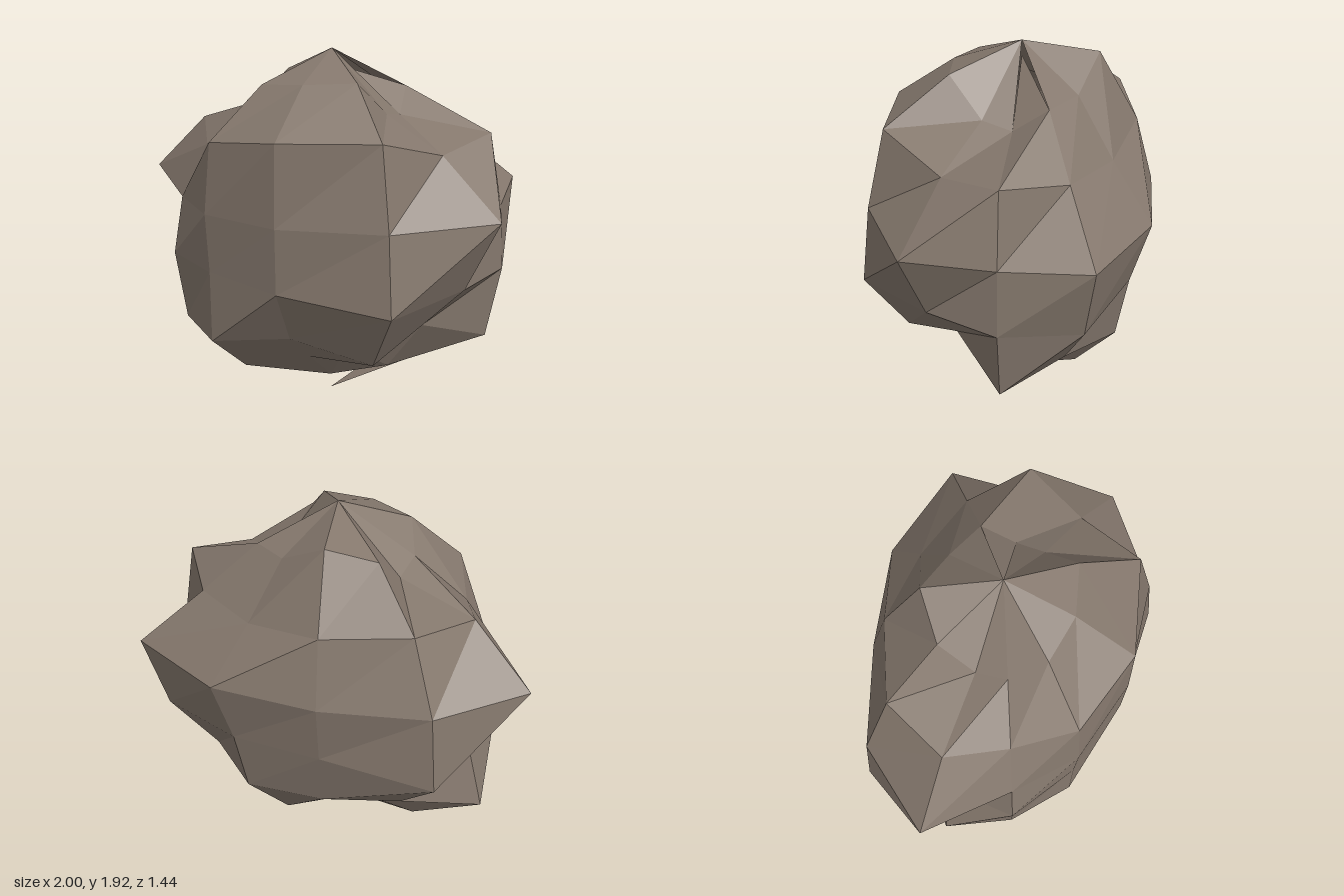
import * as THREE from 'three';

// Radii of the rough boulder: one row per ring from top to bottom, one value per side
const RINGS = [
  [0.83, 0.99, 1.0, 1.18, 1.06, 0.84, 0.9, 1.06, 1.09, 1.11, 0.87],
  [1.06, 0.945, 0.9, 1.0, 1.07, 1.01, 0.853, 1.02, 1.14, 1.17, 0.945],
  [0.92, 1.134, 1.03, 0.93, 1.065, 1.144, 0.834, 0.86, 0.93, 1.07, 1.134],
  [0.945, 1.01, 0.89, 0.86, 1.115, 0.8, 0.89, 0.84, 0.92, 1.135, 0.93],
  [1.087, 0.93, 1.0, 0.94, 0.95, 1.15, 1.035, 1.045, 0.89, 1.05, 0.825],
  [1.0, 0.96, 1.08, 0.93, 0.92, 1.12, 1.12, 0.95, 0.88, 0.81, 0.96],
];
const SIDES = 11;
const CENTRE = new THREE.Vector3(0.07, 0.97, -0.03);
const SCALE = new THREE.Vector3(1, 0.83, 0.75);

// Point on the stretched sphere at a ring (0 and 7 are the poles), side and radius
function point(ring, side, radius) {
  const theta = (ring / (RINGS.length + 1)) * Math.PI;
  const phi = (side / SIDES) * Math.PI * 2;
  return new THREE.Vector3(
    Math.sin(theta) * Math.cos(phi), Math.cos(theta), -Math.sin(theta) * Math.sin(phi),
  ).multiplyScalar(radius).multiply(SCALE).add(CENTRE);
}

function boulderGeometry() {
  const vertices = [];
  const triangle = (...corners) => corners.forEach((p) => vertices.push(p.x, p.y, p.z));
  const at = (ring, side) => point(ring, side, RINGS[ring - 1][side % SIDES]);
  const last = RINGS.length;

  for (let j = 0; j < SIDES; j++) {
    // Caps: the first facet of each has its own tip height, leaving a small chip
    const top = point(0, 0, j === 0 ? 1.05 : 1.145);
    const bottom = point(last + 1, 0, j === 0 ? 1.168 : 1.07);
    triangle(top, at(1, j), at(1, j + 1));
    triangle(bottom, at(last, j + 1), at(last, j));

    // Bands of facets between neighbouring rings
    for (let i = 1; i < last; i++) {
      const a = at(i, j + 1), b = at(i, j), c = at(i + 1, j), d = at(i + 1, j + 1);
      triangle(a, b, c);
      triangle(a, c, d);
    }
  }

  const geometry = new THREE.BufferGeometry();
  geometry.setAttribute('position', new THREE.Float32BufferAttribute(vertices, 3));
  geometry.computeVertexNormals();
  return geometry;
}

export function createModel() {
  const stone = new THREE.MeshStandardMaterial({
    color: 0x85786d, flatShading: true, side: THREE.DoubleSide,
  });
  stone.name = 'stone';

  const boulder = new THREE.Mesh(boulderGeometry(), stone);
  boulder.name = 'boulder';

  const model = new THREE.Group();
  model.name = 'rock';
  model.add(boulder);
  return model;
}
